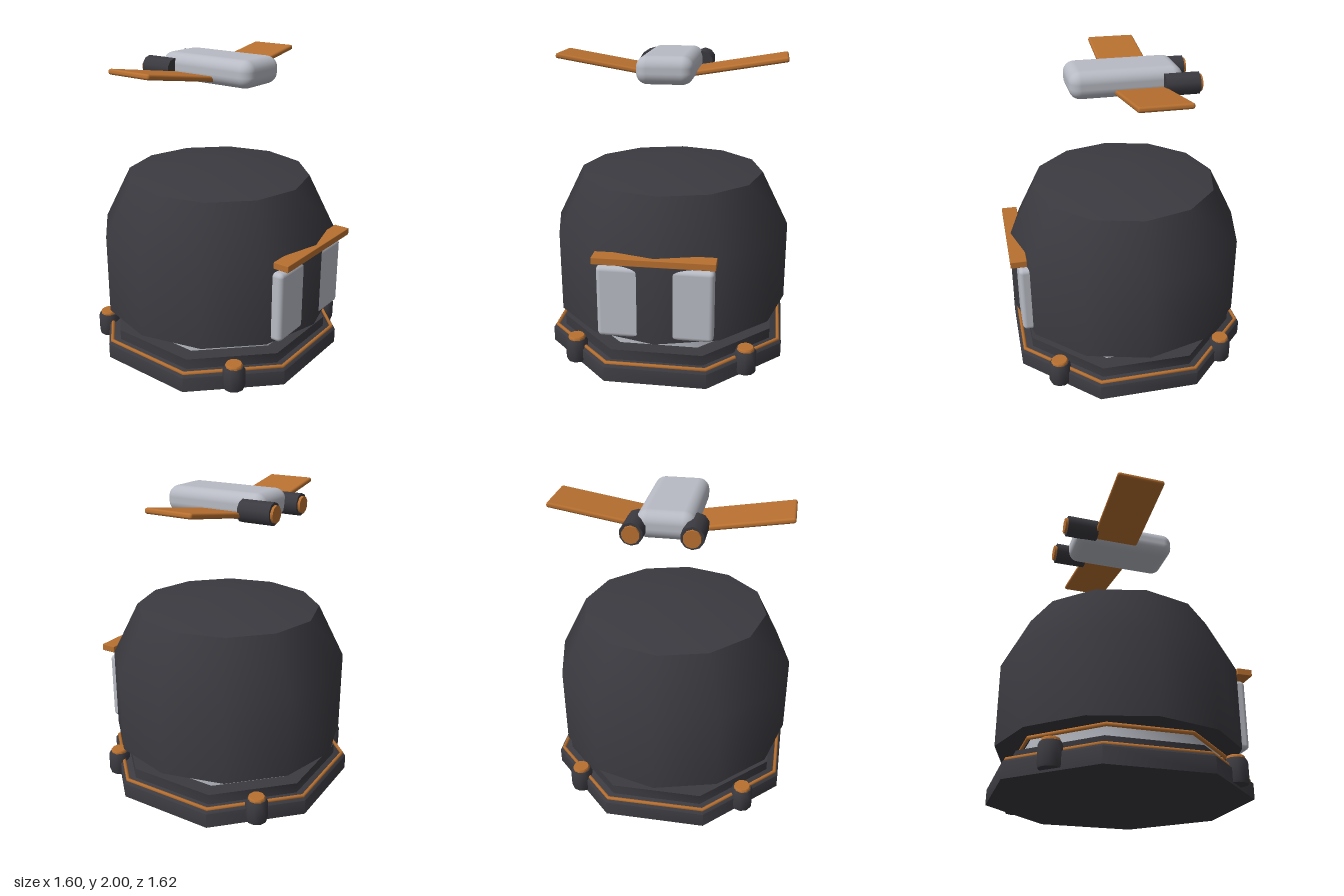
import * as THREE from 'three';
import { toCreasedNormals } from 'three/addons/utils/BufferGeometryUtils.js';
import { RoundedBoxGeometry } from 'three/addons/geometries/RoundedBoxGeometry.js';

const material = (name, color) => {
  const m = new THREE.MeshStandardMaterial({ color });
  m.name = name;
  return m;
};

export function createModel() {
  const charcoal = material('charcoal', 0x3a3a40);
  const copper = material('copper', 0xb87030);
  const silver = material('silver', 0xb8bbc4);
  const model = new THREE.Group();
  model.name = 'domeWithDrone';
  const CZ = -0.01; // shared axis of the dome and base
  const EIGHTH = Math.PI / 8;

  const add = (parent, name, geometry, mat, x = 0, y = 0, z = 0) => {
    const mesh = new THREE.Mesh(geometry, mat);
    mesh.name = name;
    mesh.position.set(x, y, z);
    parent.add(mesh);
    return mesh;
  };
  // Closed solid of revolution from [radius, height] pairs, bottom to top
  const turned = (profile, sides, phase = 0) => toCreasedNormals(
    new THREE.LatheGeometry(profile.map(([r, y]) => new THREE.Vector2(r, y)), sides, phase), 0.85);
  // Octagonal radii are given across the flats
  const across = (r) => r / Math.cos(EIGHTH);
  const octagon = (profile) => turned(profile.map(([r, y]) => [across(r), y]), 8, EIGHTH);
  const octagonRing = (r, tube) =>
    new THREE.TorusGeometry(across(r), tube, 6, 8).rotateZ(EIGHTH).rotateX(Math.PI / 2);

  // Stepped octagonal base
  add(model, 'basePlate', octagon([[0, 0], [0.79, 0], [0.79, 0.1], [0.775, 0.115], [0, 0.115]]), charcoal, 0, 0, CZ);
  add(model, 'baseTrim', octagonRing(0.765, 0.013), copper, 0, 0.12, CZ);
  add(model, 'baseStep', octagon([[0, 0.1], [0.71, 0.1], [0.71, 0.185], [0, 0.185]]), charcoal, 0, 0, CZ);
  add(model, 'neck', octagon([[0, 0.17], [0.612, 0.17], [0.612, 0.29], [0, 0.29]]), silver, 0, 0, CZ);
  add(model, 'neckTrim', octagonRing(0.638, 0.013), copper, 0, 0.278, CZ);

  // Corner posts with bright caps
  for (const sx of [-1, 1]) {
    for (const sz of [-1, 1]) {
      const post = new THREE.Group();
      post.name = 'cornerPost';
      post.position.set(sx * 0.56, 0, CZ + sz * 0.56);
      add(post, 'postBody', turned([[0, 0.015], [0.068, 0.015], [0.073, 0.03], [0.073, 0.145],
        [0.062, 0.168], [0, 0.168]], 10), charcoal);
      add(post, 'postCap', turned([[0, 0.15], [0.056, 0.15], [0.056, 0.18], [0.05, 0.188], [0, 0.188]], 10), copper);
      model.add(post);
    }
  }

  // Twelve-sided dome
  add(model, 'dome', turned([[0, 0.295], [0.8, 0.295], [0.8, 0.84], [0.62, 1.2], [0, 1.307]], 12), charcoal, 0, 0, CZ);

  // Front panels and the ledge above them
  for (const s of [-1, 1]) {
    add(model, 'frontPanel', new RoundedBoxGeometry(0.29, 0.475, 0.16, 3, 0.03), silver, s * 0.22, 0.547, 0.68);
  }
  add(model, 'ledge', new RoundedBoxGeometry(0.755, 0.045, 0.105, 1, 0.004), copper, 0, 0.842, 0.757);

  // Hovering drone
  const drone = new THREE.Group();
  drone.name = 'drone';
  drone.position.set(0, 1.912, 0);
  model.add(drone);
  add(drone, 'fuselage', new RoundedBoxGeometry(0.36, 0.176, 0.72, 4, 0.072), silver);
  for (const s of [-1, 1]) {
    const wing = add(drone, 'wing', new RoundedBoxGeometry(0.66, 0.034, 0.325, 2, 0.014), copper, s * 0.43, -0.003, -0.08);
    wing.rotation.z = s * 0.164;
    const tube = (r, length) => new THREE.CylinderGeometry(r, r, length, 10).rotateX(Math.PI / 2);
    add(drone, 'engine', tube(0.072, 0.22), charcoal, s * 0.18, -0.014, -0.335);
    add(drone, 'exhaust', tube(0.055, 0.04), copper, s * 0.18, -0.014, -0.442);
  }
  return model;
}
